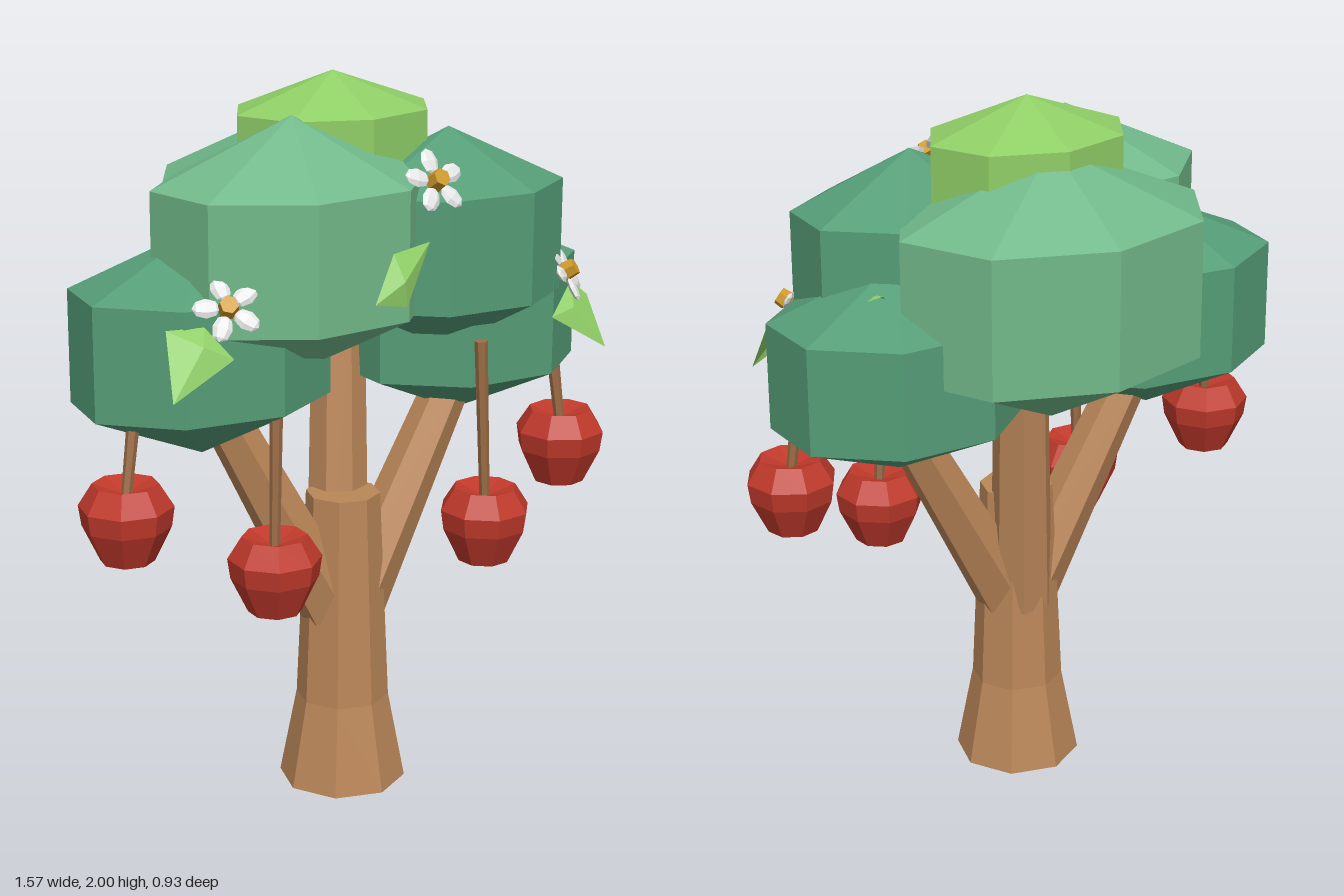
import * as THREE from 'three';

const mat = (name, color, extra = {}) =>
  Object.assign(new THREE.MeshStandardMaterial({ color, flatShading: true, ...extra }), { name });
const V = (p) => new THREE.Vector3(...p);

export function createModel() {
  const tree = new THREE.Group();
  tree.name = 'tree';
  const bark = mat('bark brown', 0xbb8759);
  const twig = mat('twig brown', 0x9c6d46);
  const midGreen = mat('deep green', 0x559d77);
  const paleGreen = mat('soft green', 0x71b98a);
  const lime = mat('lime green', 0x8fce66, { side: THREE.DoubleSide });
  const red = mat('fruit red', 0xc0392b);
  const white = mat('petal white', 0xe6e6e6);
  const gold = mat('pollen gold', 0xcf9a28);

  const add = (name, geometry, material, parent = tree) => {
    const mesh = new THREE.Mesh(geometry, material);
    mesh.name = name;
    parent.add(mesh);
    return mesh;
  };

  // Tapered round bar between two points
  const bar = (name, a, b, r0, r1, sides, material) => {
    const from = V(a), dir = V(b).sub(from);
    const mesh = add(name, new THREE.CylinderGeometry(r1, r0, dir.length(), sides), material);
    mesh.position.copy(from).addScaledVector(dir, 0.5);
    mesh.quaternion.setFromUnitVectors(new THREE.Vector3(0, 1, 0), dir.normalize());
  };

  // Trunk with a flared foot
  const trunkProfile = [[0, 0], [0.178, 0], [0.13, 0.25], [0.103, 0.85], [0, 0.85]];
  const trunk = add('trunk', new THREE.LatheGeometry(
    trunkProfile.map(([r, y]) => new THREE.Vector2(r, y)), 8), bark);
  trunk.position.set(0.02, 0, 0.1);
  trunk.rotation.y = 0.17;

  // Branches
  bar('leftBranch', [0.06, 0.52, 0.1], [0.42, 1.18, 0.06], 0.088, 0.062, 6, bark);
  bar('rightBranch', [-0.02, 0.52, 0.1], [-0.37, 1.18, 0.08], 0.088, 0.062, 6, bark);
  bar('backBranch', [0.02, 0.5, 0.07], [0.07, 1.3, -0.02], 0.09, 0.076, 7, bark);

  // Foliage: three-band, eight-sided clumps; rx and rz are the widest ring radii
  const clumps = [
    ['frontRightClump', [-0.165, 1.572, 0.15], [0.385, 0.345, 0.3], 12, paleGreen],
    ['frontLeftClump', [0.3, 1.548, 0.17], [0.333, 0.305, 0.25], 23, midGreen],
    ['lowerRightClump', [-0.4, 1.33, 0.08], [0.36, 0.307, 0.275], 27, midGreen],
    ['lowerLeftClump', [0.42, 1.308, 0.03], [0.35, 0.295, 0.295], 20, midGreen],
    ['backClump', [0.04, 1.52, -0.13], [0.445, 0.378, 0.344], 0, paleGreen],
    ['crownClump', [0.037, 1.8, 0.005], [0.285, 0.2, 0.222], 0, lime],
  ];
  for (const [name, pos, [rx, ry, rz], angle, material] of clumps) {
    const g = new THREE.SphereGeometry(1, 8, 3);
    g.rotateY(-THREE.MathUtils.degToRad(angle));
    g.scale(rx / 0.866, ry, rz / 0.866);
    add(name, g, material).position.set(...pos);
  }

  // Fruits with hanging stems
  const fruitProfile = [[0, -0.095], [0.072, -0.105], [0.118, -0.01], [0.126, 0.045], [0.088, 0.105], [0, 0.075]];
  const fruitGeometry = new THREE.LatheGeometry(
    fruitProfile.map(([r, y]) => new THREE.Vector2(r, y)), 8);
  const fruits = [
    [[-0.667, 0.902, 0.175], [-0.625, 1.2, 0.15]],
    [[-0.307, 0.741, 0.315], [-0.291, 1.24, 0.3]],
    [[0.343, 0.772, 0.32], [0.315, 1.295, 0.328]],
    [[0.66, 0.922, 0.213], [0.632, 1.22, 0.2]],
  ];
  fruits.forEach(([pos, top], i) => {
    const fruit = add('fruit', fruitGeometry, red);
    fruit.position.set(...pos);
    fruit.rotation.y = 0.25 + i * 0.15;
    bar('fruitStem', [pos[0], pos[1] + 0.06, pos[2]], top, 0.014, 0.018, 6, twig);
  });

  // Flowers: five petals round a gold button, facing +z before tilting
  const petalGeometry = new THREE.SphereGeometry(1, 6, 4);
  petalGeometry.scale(0.026, 0.036, 0.01);
  petalGeometry.translate(0, 0.056, 0);
  const buttonGeometry = new THREE.CylinderGeometry(0.024, 0.028, 0.04, 6);
  buttonGeometry.rotateX(Math.PI / 2);
  const flowers = [
    [[-0.458, 1.49, 0.36], -0.35, 0.3],
    [[0.13, 1.757, 0.385], 0.1, 0],
    [[0.612, 1.443, 0.285], 0.85, 0.2],
  ];
  for (const [pos, yaw, roll] of flowers) {
    const flower = new THREE.Group();
    flower.name = 'flower';
    flower.position.set(...pos);
    flower.rotation.set(-0.55, yaw, roll, 'YXZ');
    for (let i = 0; i < 5; i++) {
      add('petal', petalGeometry, white, flower).rotation.z = (i * Math.PI * 2) / 5;
    }
    add('flowerCentre', buttonGeometry, gold, flower).position.z = 0.012;
    tree.add(flower);
  }

  // Leaves: base, side, tip, side, folded over a raised midpoint
  const leaves = [
    [[-0.51, 1.44, 0.33], [-0.61, 1.44, 0.315], [-0.635, 1.275, 0.405], [-0.46, 1.365, 0.395]],
    [[0.105, 1.605, 0.4], [-0.015, 1.59, 0.42], [-0.085, 1.47, 0.45], [0.01, 1.455, 0.45]],
    [[0.62, 1.42, 0.3], [0.524, 1.34, 0.355], [0.69, 1.24, 0.375], [0.675, 1.375, 0.3]],
    [[0.5, 1.54, -0.07], [0.52, 1.56, -0.1], [0.56, 1.55, -0.09], [0.53, 1.555, -0.07]],
  ];
  for (const corners of leaves) {
    const [base, sideA, tip, sideB] = corners.map(V);
    const mid = sideA.clone().add(sideB).multiplyScalar(0.5);
    mid.z += 0.1 * base.distanceTo(tip);
    const ring = [base, sideA, tip, sideB];
    const points = ring.flatMap((p, i) => [p, ring[(i + 1) % 4], mid]);
    const g = new THREE.BufferGeometry().setFromPoints(points);
    g.computeVertexNormals();
    add('leaf', g, lime);
  }

  return tree;
}
